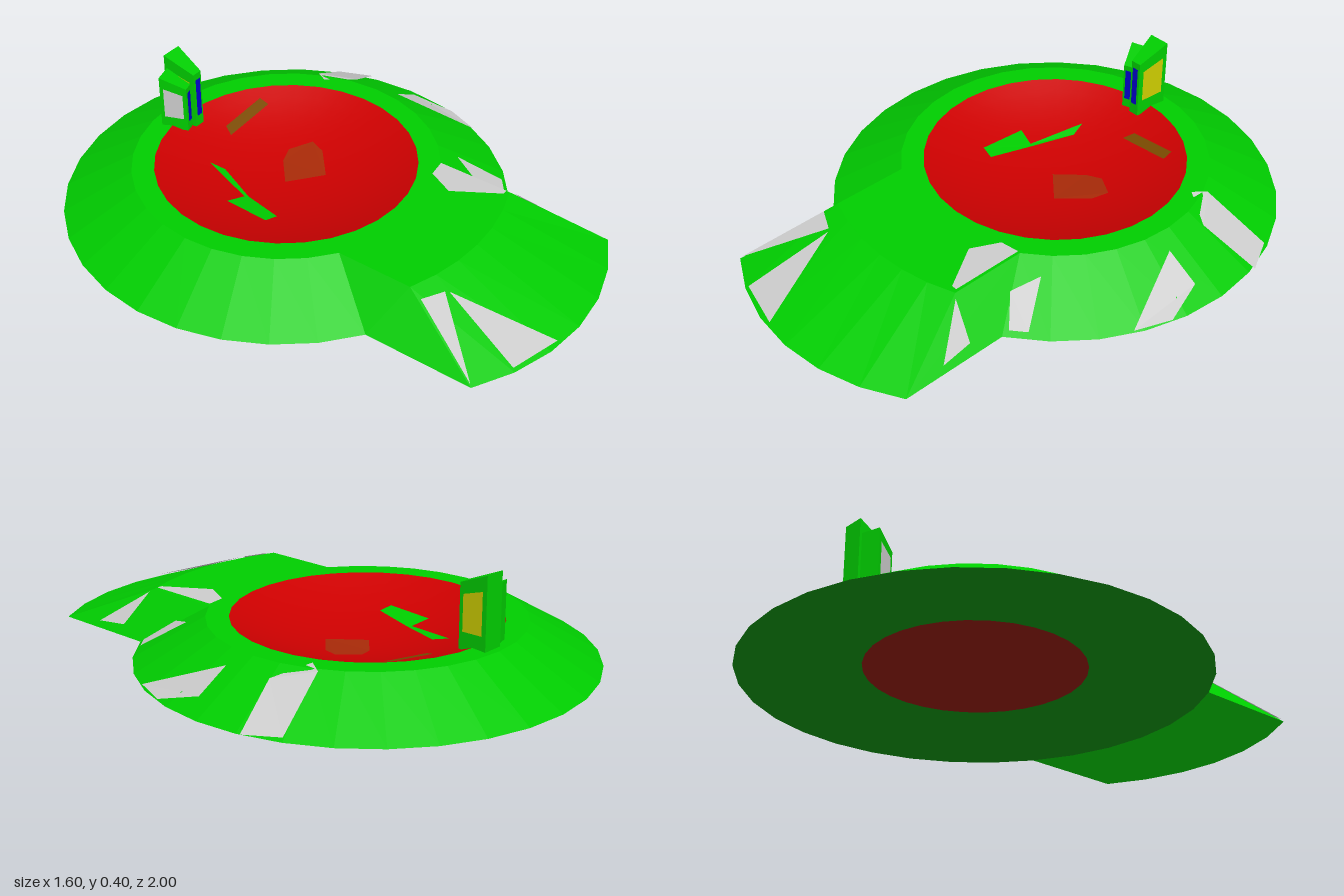
import * as THREE from 'three';
import { ConvexGeometry } from 'three/addons/geometries/ConvexGeometry.js';

const TOP = 0.145, CZ = -0.2, R = 0.8, RT = 0.55, RB = 0.47, SEG = 32;
const GREEN = 0x00cc00, RED = 0xcc0000, BLUE = 0x0000cc, YELLOW = 0xcccc00, GREY = 0xcccccc;
const V = (x, y, z) => new THREE.Vector3(x, y, z);

function add(parent, name, geometry, color, flat = true) {
  const material = new THREE.MeshStandardMaterial({ color, flatShading: flat, side: THREE.DoubleSide });
  const mesh = new THREE.Mesh(geometry, material);
  mesh.name = name;
  parent.add(mesh);
}

// Geometry from quads, each four corners counter-clockwise
function quads(list) {
  const g = new THREE.BufferGeometry().setFromPoints(
    list.flatMap(([a, b, c, d]) => [a, b, c, a, c, d]));
  g.computeVertexNormals();
  return g;
}

// Profile of radius and height, revolved around the dish centre
const lathe = (points) =>
  new THREE.LatheGeometry(points.map(([r, y]) => new THREE.Vector2(r, y)), SEG).translate(0, 0, CZ);

// Height of the bowl and of the outer hull over the ground
const bowlY = (x, z) => 0.045 + 0.1 * (x * x + (z - CZ) ** 2) / (RB * RB);
function hullY(x, z) {
  const cone = TOP * (R - Math.hypot(x, z - CZ)) / (R - RT);
  const front = TOP * (1 - (z - CZ - Math.sqrt(R * R - x * x)) / 0.4);
  const side = TOP * (1 - (Math.abs(x) - 0.306) / 0.138);
  const tongue = z > 0.25 ? Math.min(front, side) : 0;
  return Math.max(0, Math.min(TOP, Math.max(cone, tongue)));
}

// Thin patch laid over a surface, corners in x and z
function patch(parent, name, corners, heightAt, lift, color) {
  const g = new THREE.ShapeGeometry(new THREE.Shape(corners.map(([x, z]) => new THREE.Vector2(x, -z))));
  g.rotateX(-Math.PI / 2);
  const p = g.attributes.position;
  for (let i = 0; i < p.count; i++) p.setY(i, heightAt(p.getX(i), p.getZ(i)) + lift);
  g.computeVertexNormals();
  add(parent, name, g, color);
}

// Tongue at the front: four arcs joined into a closed band, plus two sides
function tongueGeometry() {
  const arc = (r, cz, y, half) => Array.from({ length: 7 }, (_, i) => {
    const a = THREE.MathUtils.degToRad(half) * (i - 3) / 3;
    return V(r * Math.sin(a), y, cz + r * Math.cos(a));
  });
  const rows = [arc(RT, CZ, TOP, 33.75), arc(R, CZ, TOP, 22.5), arc(R, 0.2, 0, 33.75), arc(R, CZ, 0, 33.75)];
  const list = [];
  for (let r = 0; r < 3; r++) {
    for (let i = 0; i < 6; i++) {
      list.push([rows[r][i], rows[r + 1][i], rows[r + 1][i + 1], rows[r][i + 1]]);
    }
  }
  list.push(rows.map((row) => row[6]), rows.map((row) => row[0]).reverse());
  return quads(list);
}

// Tapered tower, wider and taller at the back, with inset panels
function tower(name, sideColors) {
  const group = new THREE.Group();
  group.name = name;
  const [f, b, hf, hb, d] = [0.02, 0.04, 0.205, 0.255, 0.06];
  const corners = (s) => [V(s * f, 0, d), V(s * b, 0, -d), V(s * b, hb, -d), V(s * f, hf, d)];
  const right = corners(1), left = corners(-1);
  const base = [right[0], right[1], left[0], left[1]].map((p) => p.clone().setY(-0.02));
  add(group, name + 'Body', new ConvexGeometry([...right, ...left, ...base]), GREEN);
  const panel = (label, [p, q, r, s], u, v, color) => {
    const n = q.clone().sub(p).cross(s.clone().sub(p)).normalize().multiplyScalar(0.002);
    const at = (i, j) => p.clone().lerp(q, i).lerp(s.clone().lerp(r, i), j).add(n);
    add(group, label, quads([[at(u, v), at(1 - u, v), at(1 - u, 1 - v), at(u, 1 - v)]]), color);
  };
  panel('frontPanel', [left[0], right[0], right[3], left[3]], 0.2, 0.12, BLUE);
  panel('leftPanel', right, 0.14, 0.2, sideColors[0]);
  panel('rightPanel', [left[1], left[0], left[3], left[2]], 0.14, 0.2, sideColors[1]);
  return group;
}

export function createModel() {
  const model = new THREE.Group();
  model.name = 'dish';

  // Sloped ring with a flat rim, and the tongue
  add(model, 'hull', lathe([[R, 0], [RT, TOP], [RB, TOP]]), GREEN);
  add(model, 'tongue', tongueGeometry(), GREEN);

  // Shallow bowl
  const profile = Array.from({ length: 11 }, (_, i) => [RB * (1 - i / 10), bowlY(RB * (1 - i / 10), CZ)]);
  add(model, 'bowl', lathe(profile), RED, false);

  // Slightly hollow underside with a reddish middle
  add(model, 'underside', lathe([[0.38, 0.035], [0.55, 0.025], [R, 0]]), 0x0d8f0d);
  add(model, 'undersideMiddle', lathe([[0, 0.04], [0.38, 0.035]]), 0x8f1a0d);

  // Patches in the bowl
  patch(model, 'bowlPatch', [[-0.12, -0.46], [-0.105, -0.4], [-0.17, -0.24], [-0.21, -0.08],
    [-0.26, -0.09], [-0.25, -0.27], [-0.18, -0.25]], bowlY, 0.004, GREEN);
  patch(model, 'bowlPatch', [[0.07, -0.54], [0.26, -0.53], [0.26, -0.49], [0.05, -0.5]], bowlY, 0.004, 0x7a4a00);
  patch(model, 'bowlPatch', [[-0.01, -0.2], [0.08, -0.28], [0.14, -0.3], [0.22, -0.25], [0.2, -0.19], [0.1, -0.1]],
    bowlY, 0.002, 0xa82a08);

  // Bare grey patches on the hull and tongue
  const bare = [
    [[0.48, -0.39], [0.51, -0.44], [0.73, -0.5], [0.79, -0.38], [0.6, -0.32]],
    [[0.61, -0.14], [0.73, -0.14], [0.77, 0.01], [0.72, 0.14]],
    [[0.41, 0.26], [0.5, 0.4], [0.45, 0.44], [0.37, 0.36]],
    [[0.18, 0.37], [0.23, 0.27], [0.3, 0.26], [0.3, 0.53], [0.28, 0.53]],
    [[-0.44, 0.86], [-0.32, 0.59], [-0.24, 0.63]],
    [[-0.23, 0.64], [-0.11, 0.98], [-0.3, 0.93]],
    [[0.32, 0.55], [0.42, 0.58], [0.43, 0.7]],
  ];
  for (const corners of bare) patch(model, 'barePatch', corners, hullY, 0.006, GREY);

  // Two towers on the back rim
  const tall = tower('tallTower', [YELLOW, YELLOW]);
  tall.position.set(0, TOP, -0.665);
  const small = tower('smallTower', [YELLOW, GREY]);
  small.scale.set(0.95, 0.8, 0.8);
  small.position.set(-0.056, TOP, -0.66);
  small.rotation.y = 0.29;
  model.add(tall, small);
  return model;
}
